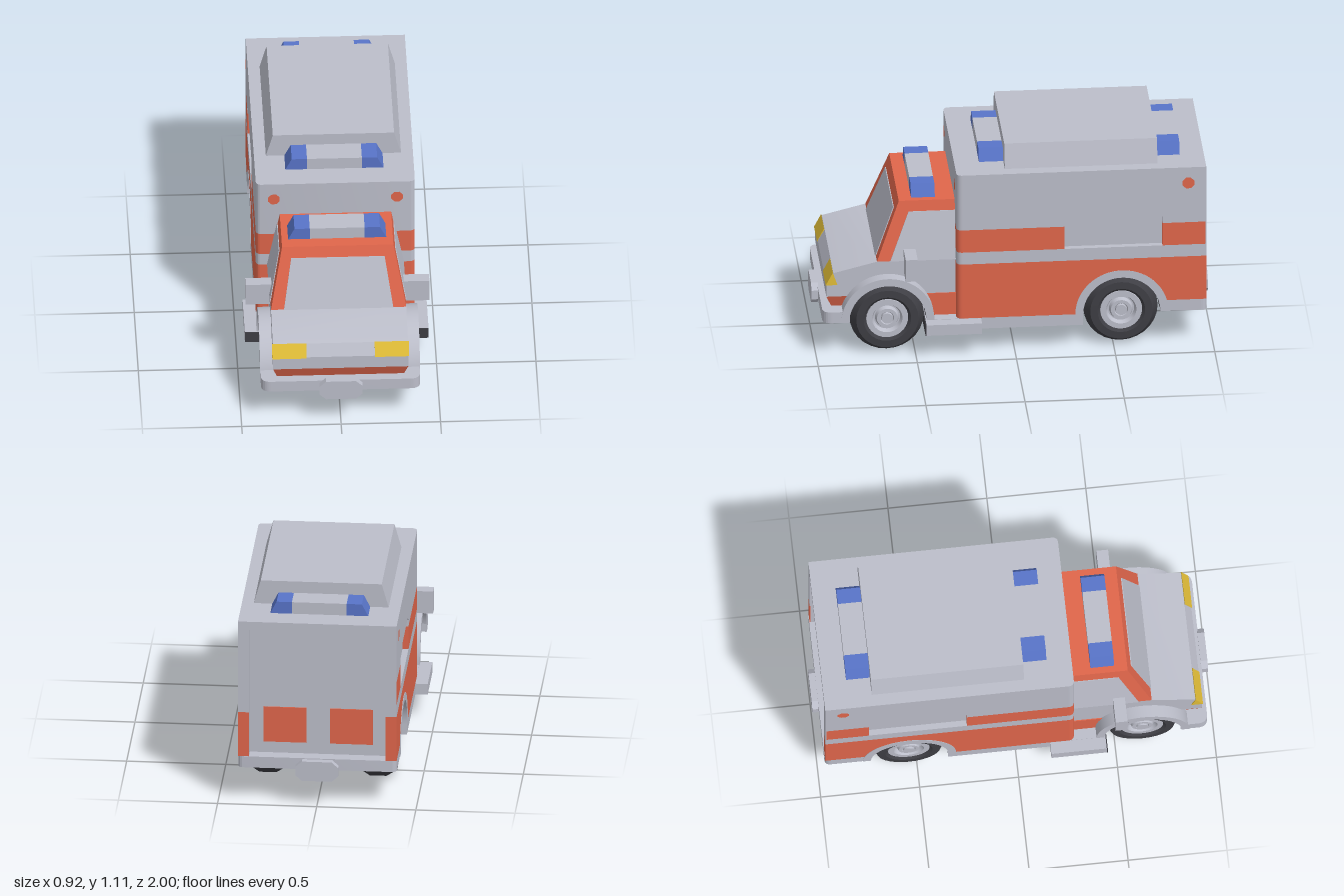
import * as THREE from 'three';
import { toCreasedNormals } from 'three/addons/utils/BufferGeometryUtils.js';

const mat = (name, color, side = THREE.FrontSide) => {
  const m = new THREE.MeshStandardMaterial({ color, side });
  m.name = name;
  return m;
};

export function createModel() {
  const grey = mat('light grey', 0xbcbeca);
  const red = mat('red', 0xe0664b);
  const blue = mat('blue', 0x5874c8);
  const yellow = mat('yellow', 0xe2be38);
  const dark = mat('dark rubber', 0x3e3e44, THREE.DoubleSide);

  const model = new THREE.Group();
  model.name = 'ambulance';
  const add = (name, geo, material) => {
    const mesh = new THREE.Mesh(geo, material);
    mesh.name = name;
    model.add(mesh);
    return mesh;
  };
  const poly = (pts) => new THREE.Shape(pts.map(([a, b]) => new THREE.Vector2(a, b)));
  const extrude = (shape, depth) =>
    new THREE.ExtrudeGeometry(shape, { depth, bevelEnabled: false, curveSegments: 20 });
  // (z, y) outline swept from x0 to x1
  const slabX = (shape, x0, x1) =>
    toCreasedNormals(extrude(shape, x1 - x0).rotateY(-Math.PI / 2).translate(x1, 0, 0), 0.5);
  // (x, z) outline swept from y0 to y1
  const slabY = (shape, y0, y1) =>
    toCreasedNormals(extrude(shape, y1 - y0).rotateX(Math.PI / 2).translate(0, y1, 0), 0.5);
  // (x, y) outline swept from z0 to z1
  const slabZ = (shape, z0, z1) => extrude(shape, z1 - z0).translate(0, 0, z0);
  const box = (name, x0, x1, y0, y1, z0, z1, m) =>
    add(name, new THREE.BoxGeometry(x1 - x0, y1 - y0, z1 - z0)
      .translate((x0 + x1) / 2, (y0 + y1) / 2, (z0 + z1) / 2), m);
  const bothSides = (name, shape, x0, x1, m) => {
    add(name + 'Left', slabX(shape, x0, x1), m);
    add(name + 'Right', slabX(shape, -x1, -x0), m);
  };
  // Slab across the vehicle with rounded corners on its outer end (dir = 1 front, -1 back)
  const roundedEnd = (w, zIn, zOut, r, dir) => {
    const s = new THREE.Shape();
    s.moveTo(-w, zIn);
    s.lineTo(-w, zOut - dir * r);
    s.quadraticCurveTo(-w, zOut, -w + r, zOut);
    s.lineTo(w - r, zOut);
    s.quadraticCurveTo(w, zOut, w, zOut - dir * r);
    s.lineTo(w, zIn);
    return s;
  };

  const axleY = 0.19, frontZ = 0.64, rearZ = -0.54, well = 0.195, arch = 0.235;

  // Rear box: core with wheel wells
  const core = new THREE.Shape();
  core.moveTo(0.26, 0.19);
  core.lineTo(rearZ + well, axleY);
  core.absarc(rearZ, axleY, well, 0, Math.PI, false);
  core.lineTo(-0.905, 0.19);
  core.lineTo(-0.905, 0.985);
  core.lineTo(0.26, 0.985);
  add('boxCore', slabX(core, -0.37, 0.37), grey);

  // Rear box: coloured side panels, leaving a window recess
  const back = -0.961;
  const lower = new THREE.Shape();
  lower.moveTo(0.26, 0.19);
  lower.lineTo(rearZ + arch, axleY);
  lower.absarc(rearZ, axleY, arch, 0, Math.PI - 0.258, false);
  lower.lineTo(back, 0.25);
  lower.lineTo(back, 0.49);
  lower.lineTo(0.26, 0.49);
  bothSides('lowerPanel', lower, 0.37, 0.4, red);
  const rect = (z0, z1, y0, y1) => poly([[z0, y0], [z1, y0], [z1, y1], [z0, y1]]);
  bothSides('middleBand', rect(back, 0.26, 0.49, 0.556), 0.37, 0.4, grey);
  bothSides('frontStripe', rect(-0.25, 0.26, 0.556, 0.68), 0.37, 0.4, red);
  bothSides('rearStripe', rect(back, -0.745, 0.556, 0.68), 0.37, 0.4, red);
  bothSides('upperPanel', poly([[0.26, 0.68], [-0.25, 0.68], [-0.25, 0.715], [-0.278, 0.743],
    [-0.717, 0.743], [-0.745, 0.715], [-0.745, 0.68], [back, 0.68], [back, 0.985], [0.26, 0.985]]),
  0.37, 0.4, grey);

  // Rear box: front wall in colour bands with rounded corners
  [[0.19, 0.49, red], [0.49, 0.556, grey], [0.556, 0.68, red], [0.68, 0.985, grey]].forEach(
    ([y0, y1, m]) => add('frontWall', slabY(roundedEnd(0.4, 0.26, 0.293, 0.03, 1), y0, y1), m));

  // Rear doorway frame and door markings
  const doorFrame = (w, y0) => poly([[-w, y0], [-0.345, y0], [-0.345, 0.94], [0.345, 0.94],
    [0.345, y0], [w, y0], [w, 0.985], [-w, 0.985]]);
  add('doorFrame', slabZ(doorFrame(0.37, 0.25), back, -0.905), grey);
  add('doorFrameFace', slabZ(doorFrame(0.4, 0.49), -0.966, back), grey);
  for (const s of [-1, 1]) {
    const span = (a, b) => (s > 0 ? [a, b] : [-b, -a]);
    box('doorPost', ...span(0.345, 0.4), 0.25, 0.49, -0.966, back, red);
    box('doorMarking', ...span(0.06, 0.275), 0.31, 0.5, -0.91, -0.904, red);
  }

  // Round lamps on the front wall and sides
  for (const s of [-1, 1]) {
    const disc = () => new THREE.CircleGeometry(0.032, 8, Math.PI / 8);
    add('frontLamp', disc().translate(s * 0.31, 0.895, 0.297), red);
    add('sideLamp', disc().rotateY(s * Math.PI / 2).translate(s * 0.404, 0.9, -0.875), red);
  }

  // Wheel arch rings and dark wheel wells
  for (const z of [frontZ, rearZ]) {
    const ring = new THREE.Shape();
    ring.absarc(z, axleY, arch, 0, Math.PI, false);
    ring.absarc(z, axleY, well, Math.PI, 0, true);
    bothSides('wheelArch', ring, z > 0 ? 0.33 : 0.37, 0.402, grey);
    for (const s of [-1, 1]) {
      add('wheelWell', new THREE.CylinderGeometry(0.193, 0.193, 0.15, 24, 1, true, 0, Math.PI)
        .rotateZ(Math.PI / 2).rotateX(0).applyMatrix4(new THREE.Matrix4().makeRotationX(0))
        .translate(s * 0.29, axleY, z), dark);
    }
  }

  // Cab lower body with bonnet and nose
  const cab = new THREE.Shape();
  cab.moveTo(0.26, 0.19);
  cab.lineTo(frontZ - well, axleY);
  cab.absarc(frontZ, axleY, well, Math.PI, 0, true);
  [[0.835, 0.31], [0.945, 0.31], [0.945, 0.38], [0.91, 0.44], [0.69, 0.495], [0.26, 0.495]]
    .forEach(([z, y]) => cab.lineTo(z, y));
  add('cabBody', slabX(cab, -0.34, 0.34), grey);
  const valance = slabX(poly([[0.835, 0.25], [0.92, 0.25], [0.945, 0.31], [0.835, 0.31]]), -0.34, 0.34);
  const vp = valance.attributes.position;
  for (let i = 0; i < vp.count; i++) if (vp.getY(i) < 0.28) vp.setX(i, vp.getX(i) * 0.94);
  valance.computeVertexNormals();
  add('noseValance', valance, red);
  bothSides('doorSill', rect(0.293, 0.445, 0.19, 0.31), 0.34, 0.345, red);
  const lamp = poly([[0.89, 0.375], [0.949, 0.375], [0.913, 0.444]]);
  bothSides('headlight', lamp, 0.172, 0.344, yellow);

  // Cab upper part, narrowing toward the roof
  const taper = (geo) => {
    const p = geo.attributes.position;
    for (let i = 0; i < p.count; i++)
      p.setX(i, p.getX(i) * (1 - ((p.getY(i) - 0.495) / 0.305) * (0.06 / 0.34)));
    geo.computeVertexNormals();
    return geo;
  };
  add('cabFrame', taper(slabX(poly([[0.26, 0.495], [0.69, 0.495], [0.575, 0.8], [0.26, 0.8]]),
    -0.34, 0.34)), red);
  const sideWindow = poly([[0.293, 0.495], [0.623, 0.495], [0.527, 0.745], [0.293, 0.745]]);
  add('sideWindowLeft', taper(slabX(sideWindow, 0.338, 0.344)), grey);
  add('sideWindowRight', taper(slabX(sideWindow, -0.344, -0.338)), grey);
  add('windscreen', taper(slabX(poly([[0.686, 0.495], [0.694, 0.495], [0.6, 0.745], [0.592, 0.745]]),
    -0.275, 0.275)), grey);

  // Mirrors
  box('mirrorLeft', 0.325, 0.462, 0.435, 0.555, 0.495, 0.555, grey);
  box('mirrorRight', -0.462, -0.325, 0.435, 0.555, 0.495, 0.555, grey);

  // Bumpers and blank plates
  add('frontBumper', slabY(roundedEnd(0.4, 0.83, 0.968, 0.05, 1), 0.19, 0.25), grey);
  add('rearBumper', slabY(roundedEnd(0.4, -0.74, -0.968, 0.03, -1), 0.19, 0.25), grey);
  const plate = (y0, y1) => poly([[-0.108, y0 + 0.03], [-0.075, y0], [0.075, y0], [0.108, y0 + 0.03],
    [0.108, y1 - 0.03], [0.075, y1], [-0.075, y1], [-0.108, y1 - 0.03]]);
  add('frontPlate', slabZ(plate(0.157, 0.265), 0.965, 1), grey);
  add('rearPlate', slabZ(plate(0.14, 0.245), -1, -0.965), grey);

  // Chassis and side steps
  box('chassisSpine', -0.215, 0.215, 0.13, 0.4, -0.73, 0.82, grey);
  box('chassisMiddle', -0.4, 0.4, 0.13, 0.19, rearZ + well, 0.45, grey);
  for (const s of [-1, 1]) {
    box('step', s > 0 ? 0.39 : -0.462, s > 0 ? 0.462 : -0.39, 0.13, 0.188, 0.17, 0.45, grey);
    box('stepFront', s > 0 ? 0.215 : -0.462, s > 0 ? 0.462 : -0.215, 0.13, 0.188, 0.45, 0.455, dark);
  }

  // Roof pod and light bars
  const trapezoid = (xb0, xb1, xt0, xt1, y0, y1) => poly([[xb0, y0], [xb1, y0], [xt1, y1], [xt0, y1]]);
  add('roofPod', slabZ(trapezoid(-0.34, 0.34, -0.305, 0.305, 0.985, 1.11), -0.725, 0.045), grey);
  [[0.985, 0.045, 0.168], [0.985, -0.845, -0.725], [0.8, 0.39, 0.51]].forEach(([y, z0, z1]) => {
    const t = y + 0.063;
    add('lightBarCentre', slabZ(trapezoid(-0.138, 0.138, -0.138, 0.138, y, t), z0, z1), grey);
    add('beaconLeft', slabZ(trapezoid(0.138, 0.247, 0.138, 0.215, y, t), z0, z1), blue);
    add('beaconRight', slabZ(trapezoid(-0.247, -0.138, -0.215, -0.138, y, t), z0, z1), blue);
  });

  // Wheels
  const lathe = (pts) => toCreasedNormals(
    new THREE.LatheGeometry(pts.map(([r, h]) => new THREE.Vector2(r, h)), 28), 0.4);
  const tyre = lathe([[0, 0.186], [0.157, 0.186], [0.187, 0.235], [0.187, 0.32], [0.157, 0.37],
    [0.12, 0.372], [0.107, 0.36], [0.105, 0.34]]);
  const rim = lathe([[0.108, 0.345], [0.105, 0.362], [0.077, 0.362], [0.067, 0.338], [0.06, 0.338],
    [0.052, 0.36], [0.035, 0.36], [0.03, 0.352], [0.028, 0.366], [0, 0.366]]);
  for (const z of [frontZ, rearZ]) for (const s of [-1, 1]) {
    const wheel = new THREE.Group();
    wheel.name = 'wheel';
    [['tyre', tyre, dark], ['rim', rim, grey]].forEach(([name, geo, m]) => {
      const part = new THREE.Mesh(geo, m);
      part.name = name;
      wheel.add(part);
    });
    wheel.rotation.z = -s * Math.PI / 2;
    wheel.position.set(0, 0.188, z);
    model.add(wheel);
  }
  return model;
}
